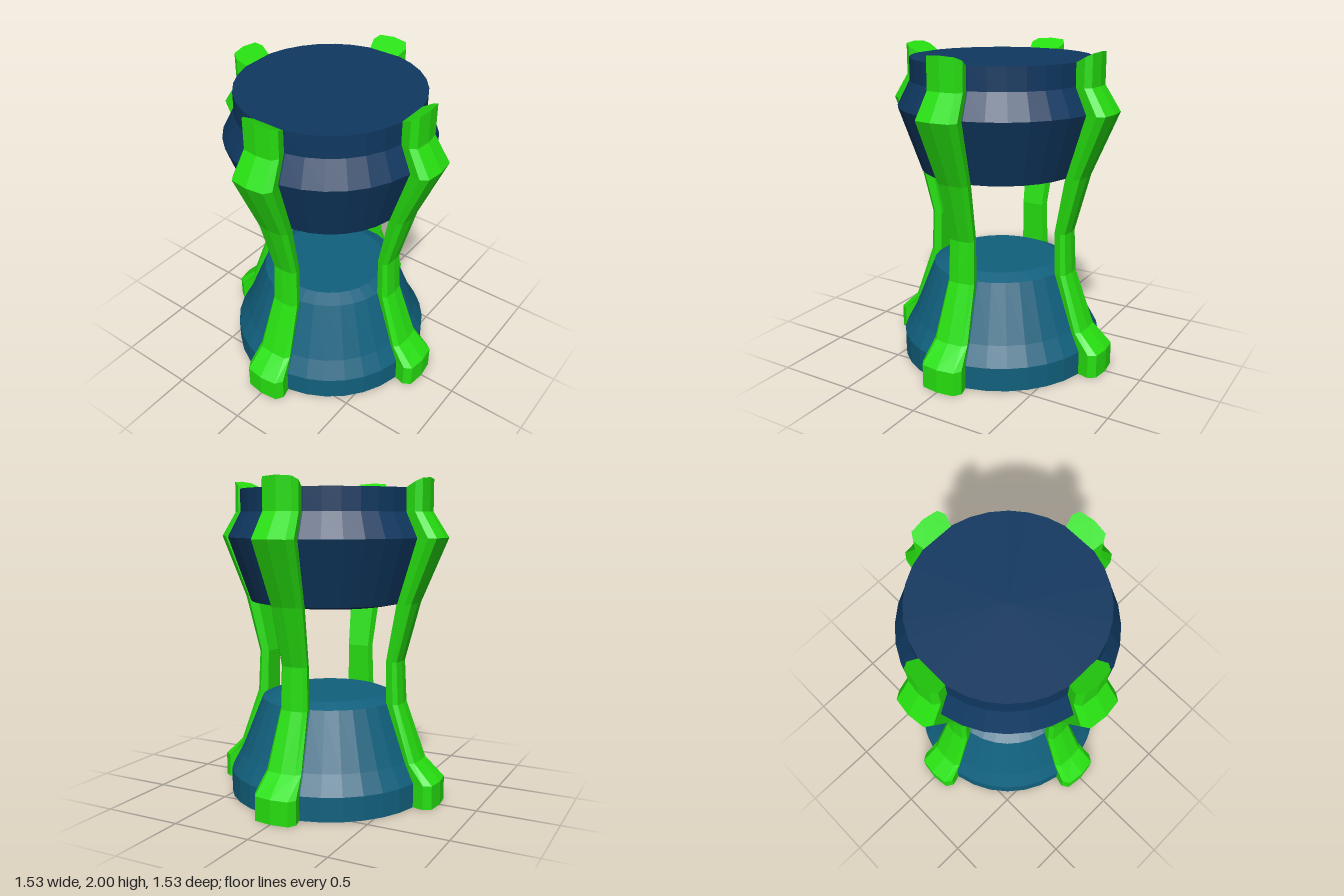
import * as THREE from 'three';

const mat = (name, color, side = THREE.FrontSide) => {
  const m = new THREE.MeshStandardMaterial({ color, side });
  m.name = name;
  m.flatShading = true;
  return m;
};

// Faceted solid of revolution from [radius, y] pairs listed bottom to top
function drum(name, profile, material) {
  const pts = profile.map(([r, y]) => new THREE.Vector2(r, y));
  const mesh = new THREE.Mesh(new THREE.LatheGeometry(pts, 32), material);
  mesh.name = name;
  return mesh;
}

// Strut stations: y, inner radius, outer radius, half width
const STATIONS = [
  [0, 0.62, 0.765, 0.14],
  [0.15, 0.62, 0.765, 0.14],
  [0.27, 0.55, 0.637, 0.118],
  [0.62, 0.43, 0.513, 0.092],
  [0.885, 0.423, 0.5, 0.087],
  [1.25, 0.495, 0.598, 0.104],
  [1.645, 0.625, 0.765, 0.14],
  [1.8, 0.548, 0.665, 0.12],
  [1.97, 0.548, 0.665, 0.12],
];

// Bevelled bar that follows the waist, built for the +z side
function strutGeometry() {
  const rings = STATIONS.map(([y, ri, ro, w], j) => {
    const d = ro - ri;
    const section = [
      [0, ro], [0.79 * w, ro - 0.1 * d], [w, ro - 0.42 * d], [0.84 * w, ri],
      [-0.84 * w, ri], [-w, ro - 0.42 * d], [-0.79 * w, ro - 0.1 * d],
    ];
    const last = j === STATIONS.length - 1;
    // the top end slopes down towards the drum
    return section.map(([x, z]) => [x, last ? 1.937 + 0.063 * (z - ri) / d : y, z]);
  });
  const n = rings[0].length;
  const index = [];
  for (let j = 0; j < rings.length - 1; j++) {
    for (let k = 0; k < n; k++) {
      const a = j * n + k, b = j * n + (k + 1) % n;
      index.push(a, b, b + n, a, b + n, a + n);
    }
  }
  const top = (rings.length - 1) * n;
  for (let k = 1; k < n - 1; k++) {
    index.push(0, k + 1, k, top, top + k, top + k + 1);
  }
  const g = new THREE.BufferGeometry();
  g.setAttribute('position', new THREE.Float32BufferAttribute(rings.flat(2), 3));
  g.setIndex(index);
  const flat = g.toNonIndexed();
  flat.computeVertexNormals();
  return flat;
}

export function createModel() {
  const model = new THREE.Group();
  model.name = 'hourglassStand';
  const teal = mat('teal', 0x11607d);
  const navy = mat('navy', 0x0f3860);
  const green = mat('brightGreen', 0x27e010);

  model.add(drum('lowerDrum', [
    [0, 0], [0.645, 0], [0.645, 0.15], [0.58, 0.27], [0.44, 0.62], [0.355, 0.655], [0, 0.655],
  ], teal));
  model.add(drum('upperDrum', [
    [0, 1.225], [0.4, 1.225], [0.507, 1.247], [0.645, 1.645], [0.565, 1.8], [0.565, 1.94], [0, 1.94],
  ], navy));

  // Four struts around the drums
  const geometry = strutGeometry();
  ['frontStrut', 'leftStrut', 'backStrut', 'rightStrut'].forEach((name, i) => {
    const strut = new THREE.Mesh(geometry, green);
    strut.name = name;
    strut.rotation.y = i * Math.PI / 2;
    model.add(strut);
  });
  return model;
}
